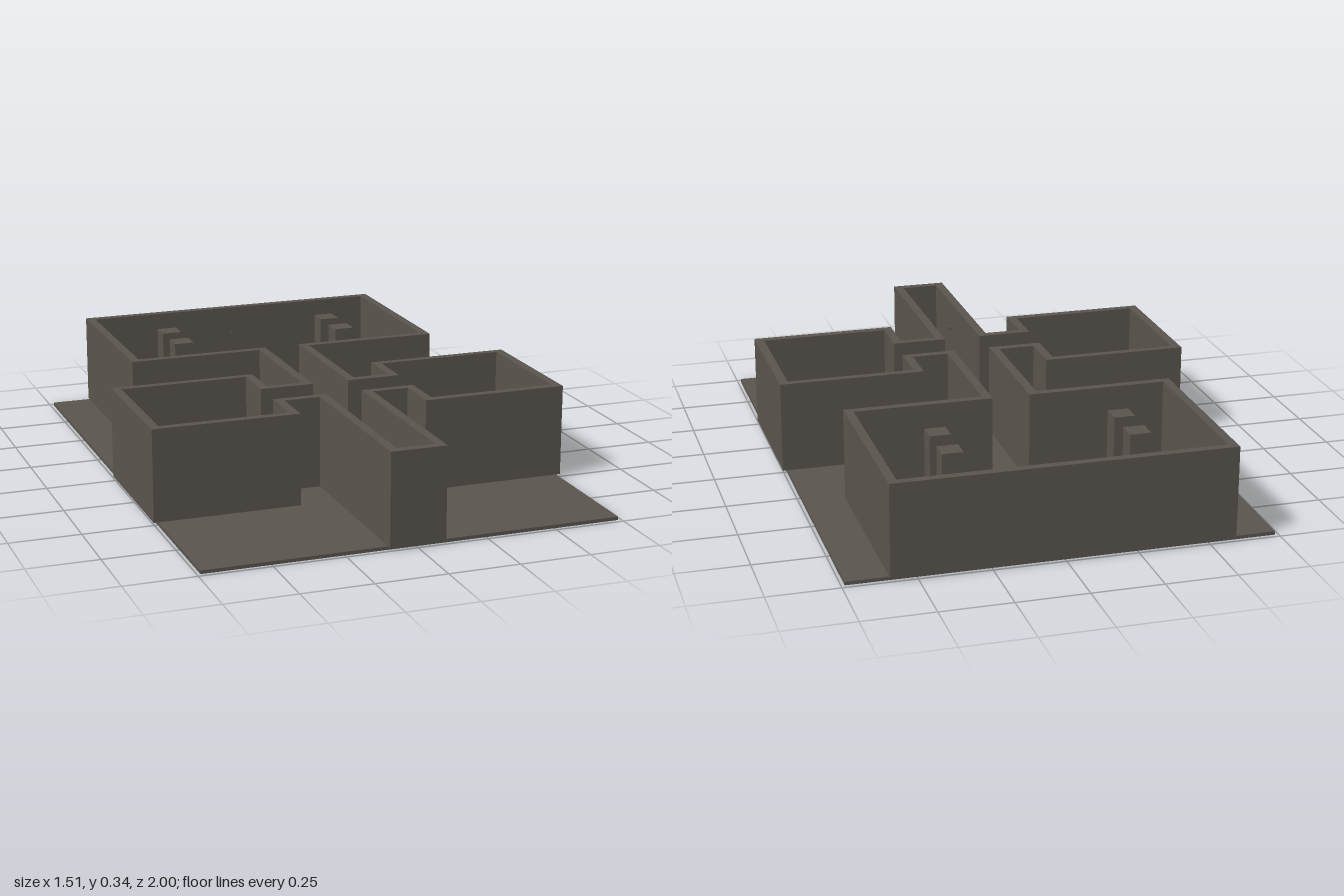
import * as THREE from 'three';

export function createModel() {
  const model = new THREE.Group();
  const mat = (name, color) => {
    const m = new THREE.MeshStandardMaterial({ color });
    m.name = name;
    return m;
  };
  const stone = mat('stone', 0x5a544d);
  const darkFloor = mat('dark floor', 0x2a2a34);

  const add = (name, geometry, material, x, y, z) => {
    const mesh = new THREE.Mesh(geometry, material);
    mesh.name = name;
    mesh.position.set(x, y, z);
    model.add(mesh);
    return mesh;
  };
  // box standing on y, given by its extents in plan
  const block = (name, material, x0, x1, z0, z1, y, h) =>
    add(name, new THREE.BoxGeometry(x1 - x0, h, z1 - z0), material, (x0 + x1) / 2, y + h / 2, (z0 + z1) / 2);

  const base = 0.012, wallTop = 0.34, floorTop = 0.017;

  // ground slab
  block('groundSlab', stone, -0.738, 0.738, -0.984, 0.984, 0, base);

  // walls: mirrored plan outline, counter-clockwise, with the rooms and corridors cut out
  const outline = (half) => [
    ...half.map(([x, z]) => new THREE.Vector2(-x, -z)),
    ...half.slice().reverse().map(([x, z]) => new THREE.Vector2(x, -z)),
  ];
  const outer = [
    [0.592, -1], [0.592, -0.316], [0.099, -0.316], [0.099, 0.15], [0.23, 0.15], [0.23, -0.013],
    [0.754, -0.013], [0.754, 0.507], [0.23, 0.507], [0.23, 0.341], [0.099, 0.341], [0.099, 1],
  ];
  const inner = [
    [0.561, -0.97], [0.561, -0.345], [0.067, -0.345], [0.067, 0.18], [0.262, 0.18], [0.262, 0.014],
    [0.722, 0.014], [0.722, 0.477], [0.262, 0.477], [0.262, 0.312], [0.067, 0.312], [0.067, 0.969],
  ];
  const plan = new THREE.Shape(outline(outer));
  plan.holes.push(new THREE.Path(outline(inner)));
  const walls = new THREE.ExtrudeGeometry(plan, { depth: wallTop - base, bevelEnabled: false });
  walls.rotateX(-Math.PI / 2);
  add('walls', walls, stone, 0, base, 0);

  // dark room floors, reaching into the doorways
  const plate = floorTop - base;
  block('greatRoomFloor', darkFloor, -0.561, 0.561, -0.97, -0.345, base, plate);
  block('greatRoomThreshold', darkFloor, -0.067, 0.067, -0.345, -0.333, base, plate);
  for (const [side, s] of [['left', 1], ['right', -1]]) {
    add(`${side}RoomFloor`, new THREE.BoxGeometry(0.46, plate, 0.463), darkFloor, s * 0.492, base + plate / 2, 0.2455);
    add(`${side}RoomThreshold`, new THREE.BoxGeometry(0.016, plate, 0.132), darkFloor, s * 0.254, base + plate / 2, 0.246);
  }

  // four pillars and the altar in the great room
  for (const x of [-0.325, 0.325])
    for (const z of [-0.742, -0.577])
      block('pillar', stone, x - 0.037, x + 0.037, z - 0.037, z + 0.037, base, 0.318);
  block('altar', stone, -0.088, 0.088, -0.936, -0.853, base, 0.092);

  // chest in the left room
  block('chest', stone, 0.448, 0.53, 0.053, 0.106, base, 0.052);

  // rubble in the right room
  [[-0.537, 0.44, 0.02], [-0.476, 0.362, 0.017], [-0.441, 0.451, 0.016]].forEach(([x, z, r], i) => {
    const rock = add('rubble', new THREE.DodecahedronGeometry(r), stone, x, floorTop + r * 0.7, z);
    rock.rotation.set(i * 0.7, i * 1.3, 0.2);
  });

  // small wall pegs
  block('greatRoomPeg', stone, -0.006, 0.006, -0.971, -0.962, 0.228, 0.014);
  block('corridorPeg', stone, -0.068, -0.06, 0.729, 0.741, 0.228, 0.014);

  return model;
}
